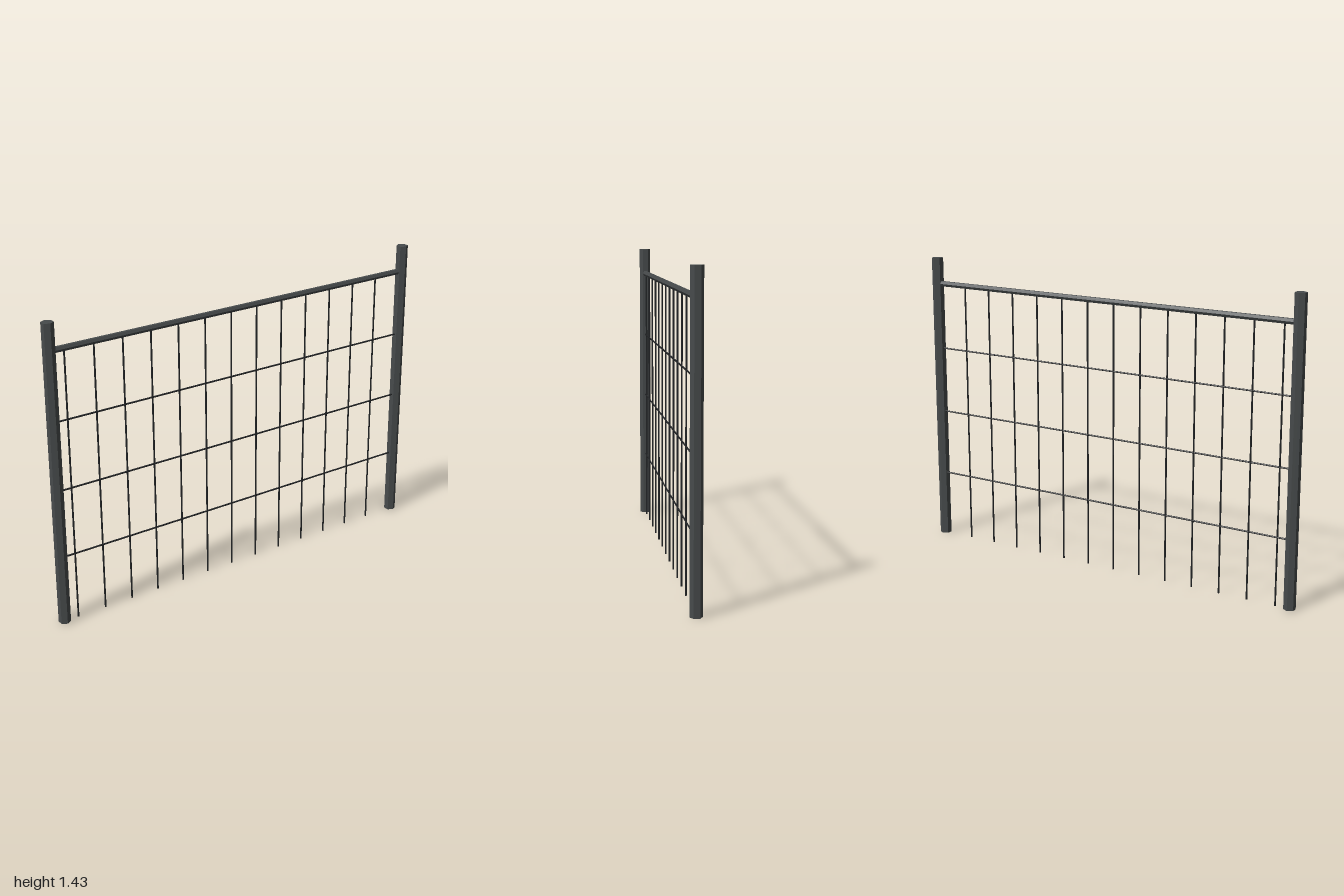
import * as THREE from 'three';

export function createModel() {
  const group = new THREE.Group();
  group.name = 'wireFencePanel';

  const steel = new THREE.MeshStandardMaterial({ name: 'dark grey steel', color: 0x474b4c, flatShading: true });
  const wire = new THREE.MeshStandardMaterial({ name: 'black wire', color: 0x222426, flatShading: true });

  const railY = 1.302;
  const postX = 0.9757;

  // Bar with its centre at (x, y); horizontal bars run along x
  function addBar(name, radius, length, x, y, material, horizontal = false, sides = 6) {
    const geometry = new THREE.CylinderGeometry(radius, radius, length, sides);
    if (horizontal) geometry.rotateZ(Math.PI / 2);
    const mesh = new THREE.Mesh(geometry, material);
    mesh.name = name;
    mesh.position.set(x, y, 0);
    group.add(mesh);
  }

  // Hexagonal end posts
  addBar('leftPost', 0.028, 1.43, postX, 0.715, steel);
  addBar('rightPost', 0.028, 1.43, -postX, 0.715, steel);

  // Top rail between the posts
  addBar('topRail', 0.014, postX * 2, 0, railY, steel, true);

  // Horizontal wires at quarter heights
  for (let i = 1; i <= 3; i++) {
    addBar('horizontalWire' + i, 0.004, postX * 2, 0, (railY * i) / 4, wire, true);
  }

  // Vertical wires, evenly spaced and starting from the right post
  for (let i = 0; i < 13; i++) {
    addBar('verticalWire' + (i + 1), 0.004, railY, -0.905 + i * 0.1428, railY / 2, wire);
  }

  return group;
}
